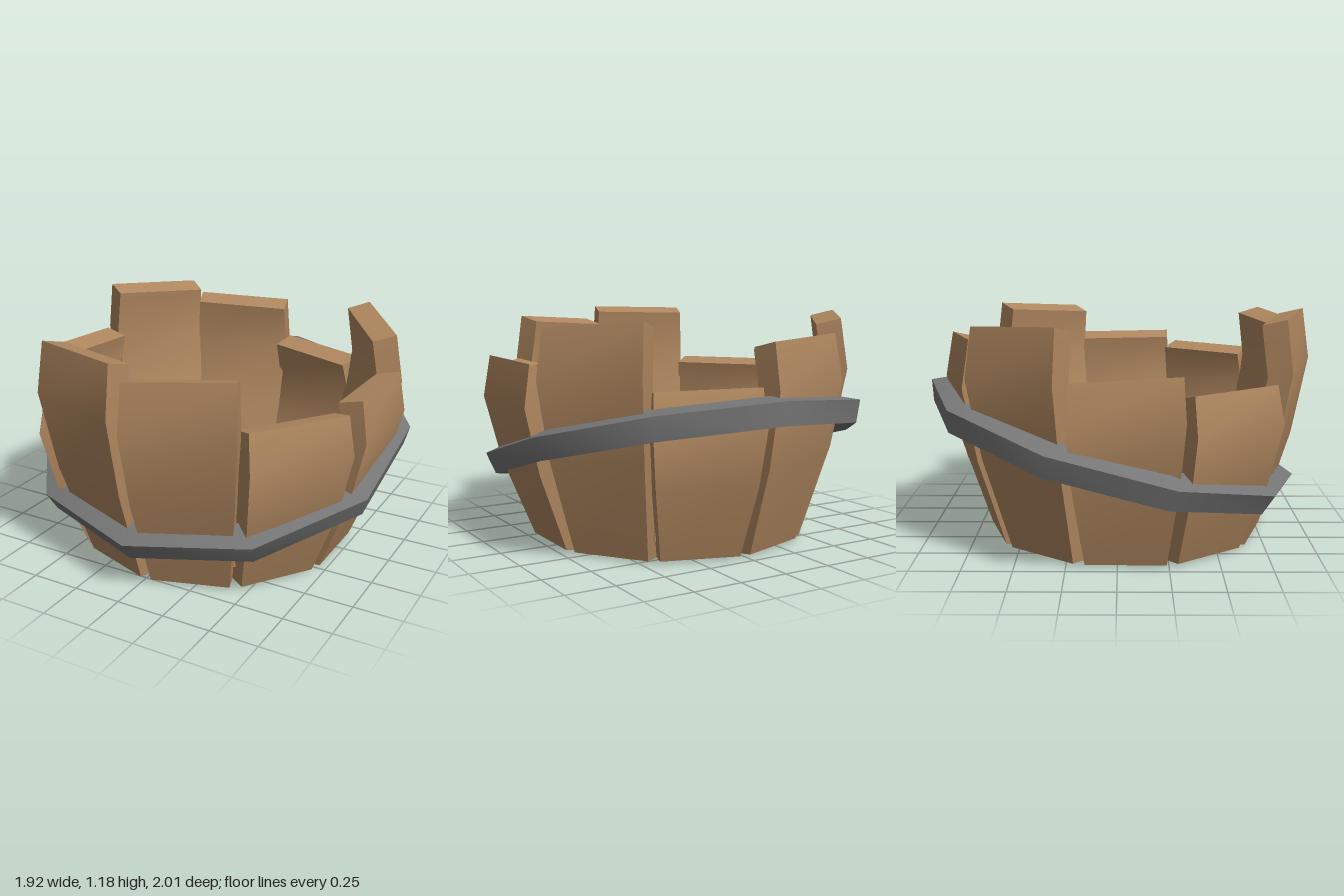
import * as THREE from 'three';
import { toCreasedNormals } from 'three/addons/utils/BufferGeometryUtils.js';

const SIDES = 10;
const TAN = Math.tan(Math.PI / SIDES);

// Bowed stave profile: [height fraction, outer distance from the axis]
const PROFILE = [[0, 0.705], [0.43, 0.855], [0.78, 0.93], [1, 0.893]];
const THICK = 0.122;

// Stave facing +z, with top heights hl (at -x) and hr (at +x), leaning outwards by lean
function staveGeometry(hl, hr, lean) {
  const pos = [], idx = [];
  for (const [t, radius] of PROFILE) {
    const wo = radius * TAN - 0.031, wi = (radius - THICK) * TAN + 0.003;
    const outer = radius + lean * t, inner = outer - THICK;
    const yo = h => 0.012 + t * (h - 0.012);
    const yi = h => t * (h - 0.03);
    pos.push(-wo, yo(hl), outer, wo, yo(hr), outer, wi, yi(hr), inner, -wi, yi(hl), inner);
  }
  const last = PROFILE.length - 1;
  for (let r = 0; r < last; r++) {
    for (let k = 0; k < 4; k++) {
      const a = r * 4 + k, b = r * 4 + (k + 1) % 4;
      idx.push(a, b, b + 4, a, b + 4, a + 4);
    }
  }
  const t = last * 4;
  idx.push(t, t + 1, t + 2, t, t + 2, t + 3, 0, 2, 1, 0, 3, 2);
  const geo = new THREE.BufferGeometry();
  geo.setAttribute('position', new THREE.Float32BufferAttribute(pos, 3));
  geo.setIndex(idx);
  return toCreasedNormals(geo, 0.6);
}

// Plank of the ten-sided floor between z0 and z1
function plankGeometry(z0, z1, radius, thickness) {
  const corners = [];
  for (let k = 0; k <= SIDES / 2; k++) {
    const a = Math.PI - (k * 2 * Math.PI) / SIDES;
    corners.push([radius * Math.cos(a), radius * Math.sin(a)]);
  }
  const halfWidth = z => {
    for (let k = 1; k < corners.length; k++) {
      const [za, xa] = corners[k - 1], [zb, xb] = corners[k];
      if (z <= zb + 1e-6) return xa + ((xb - xa) * (z - za)) / (zb - za);
    }
    return 0;
  };
  const zs = [z0, ...corners.map(c => c[0]).filter(z => z > z0 + 0.001 && z < z1 - 0.001), z1];
  const right = zs.map(z => new THREE.Vector2(halfWidth(z), -z));
  const left = zs.map(z => new THREE.Vector2(-halfWidth(z), -z)).reverse();
  const geo = new THREE.ExtrudeGeometry(new THREE.Shape([...right, ...left]), { depth: thickness, bevelEnabled: false });
  return geo.rotateX(-Math.PI / 2);
}

export function createModel() {
  const model = new THREE.Group();
  model.name = 'brokenBarrel';

  const wood = new THREE.MeshStandardMaterial({ color: 0xb08860 });
  wood.name = 'brown wood';
  const iron = new THREE.MeshStandardMaterial({ color: 0x767676 });
  iron.name = 'grey iron';

  // Wooden body, sitting slightly forward inside the hoop
  const body = new THREE.Group();
  body.name = 'body';
  body.position.set(0.01, 0, 0.04);
  model.add(body);

  // Staves broken off at different heights, from the front towards +x: [left, right, lean]
  const staves = [
    [1.11, 1.14, 0], [0.9, 0.9, -0.01], [0.96, 0.95, 0.015], [1.12, 1.16, -0.015], [0.84, 0.85, -0.05],
    [1.06, 1.08, -0.015], [1.15, 1.18, 0], [0.93, 0.96, -0.015], [0.87, 0.87, -0.01], [1.175, 1.185, 0],
  ];
  staves.forEach((args, i) => {
    const stave = new THREE.Mesh(staveGeometry(...args), wood);
    stave.name = 'stave' + (i + 1);
    stave.rotation.y = ((i + 0.5) * 2 * Math.PI) / SIDES;
    body.add(stave);
  });

  // Floor planks running sideways, butted together
  const R = 0.69, planks = 4, step = (2 * R) / planks;
  for (let i = 0; i < planks; i++) {
    const z0 = -R + step * i;
    const plank = new THREE.Mesh(plankGeometry(z0, z0 + step, R, 0.09), wood);
    plank.name = 'floorPlank' + (i + 1);
    plank.position.y = 0.1;
    body.add(plank);
  }

  // Loose iron hoop, slipped down at the front
  const section = [[0.84, -0.07], [0.973, -0.11], [1.01, 0], [0.875, 0.045], [0.84, -0.07]];
  const hoop = new THREE.Mesh(
    toCreasedNormals(new THREE.LatheGeometry(section.map(p => new THREE.Vector2(...p)), SIDES), 0.7), iron);
  hoop.name = 'hoop';
  hoop.position.set(0, 0.54, -0.025);
  hoop.rotation.x = THREE.MathUtils.degToRad(15);
  model.add(hoop);

  return model;
}
